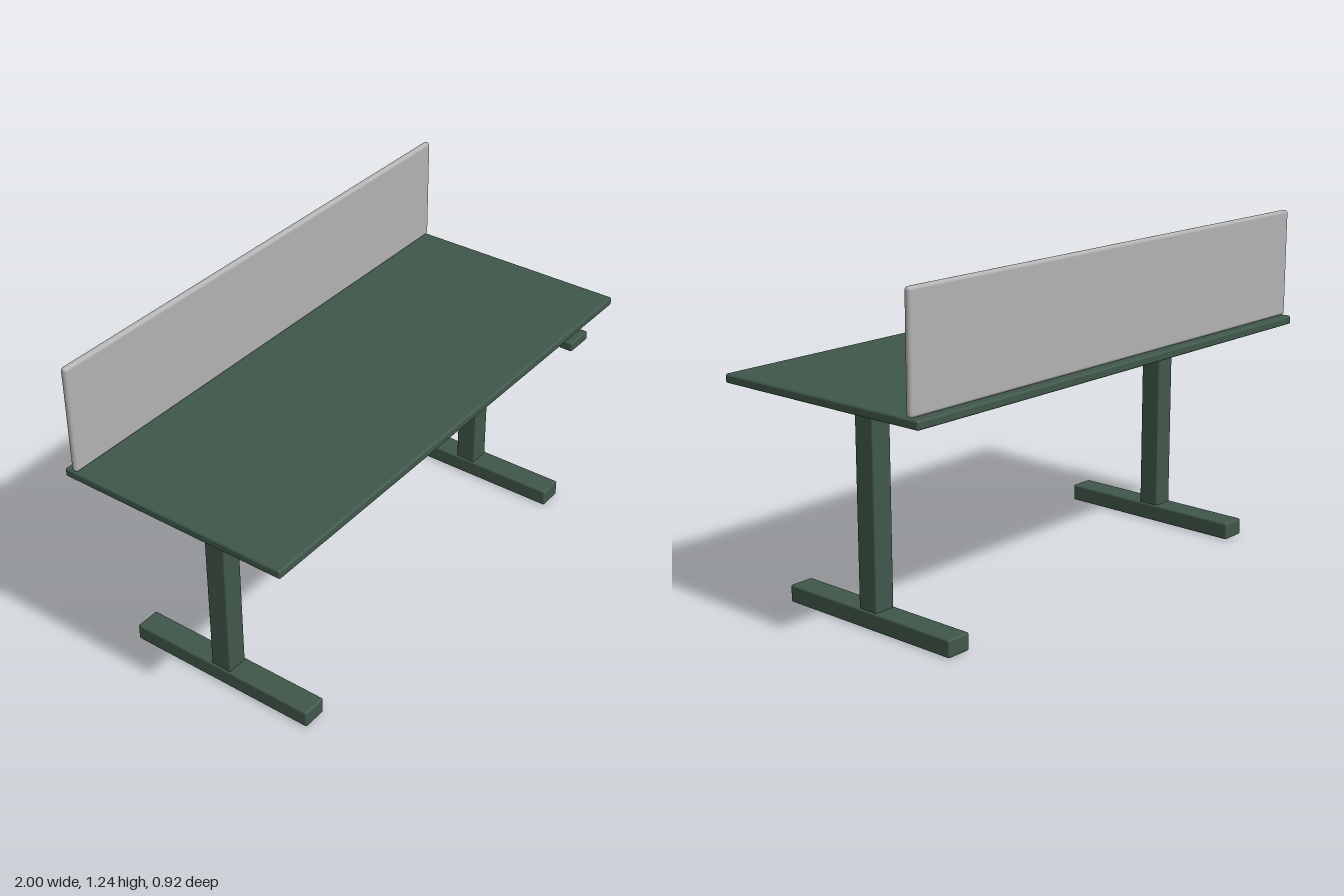
import * as THREE from 'three';
import { RoundedBoxGeometry } from 'three/addons/geometries/RoundedBoxGeometry.js';

export function createModel() {
  const desk = new THREE.Group();
  desk.name = 'desk';

  const green = new THREE.MeshStandardMaterial({ color: 0x40574a });
  green.name = 'dark green';
  const grey = new THREE.MeshStandardMaterial({ color: 0xb2b2b2 });
  grey.name = 'light grey';

  // Soft-edged block given by its [min, max] extents on each axis
  function block(name, [x0, x1], [y0, y1], [z0, z1], radius, material = green) {
    const geometry = new RoundedBoxGeometry(x1 - x0, y1 - y0, z1 - z0, 3, radius);
    const mesh = new THREE.Mesh(geometry, material);
    mesh.name = name;
    mesh.position.set((x0 + x1) / 2, (y0 + y1) / 2, (z0 + z1) / 2);
    desk.add(mesh);
    return mesh;
  }

  // Work surface and privacy screen along its back edge
  block('desktop', [-1, 1], [0.805, 0.837], [-0.459, 0.431], 0.008);
  block('privacyScreen', [-0.999, 0.999], [0.837, 1.236], [-0.431, -0.405], 0.012, grey);

  // Frame: a crossbar joining two columns on long feet
  block('crossbar', [-0.797, 0.797], [0.712, 0.781], [-0.049, 0.025], 0.006);
  for (const side of [-1, 1]) {
    const label = side > 0 ? 'left' : 'right';
    const span = (a, b) => (side > 0 ? [a, b] : [-b, -a]);
    block(label + 'Column', span(0.72, 0.801), [0.05, 0.766], [-0.052, 0.029], 0.005);
    block(label + 'Foot', span(0.713, 0.808), [0, 0.063], [-0.39, 0.365], 0.007);
  }

  // Height control under the front edge
  block('heightControl', [0.664, 0.775], [0.775, 0.81], [0.406, 0.459], 0.006);

  return desk;
}
